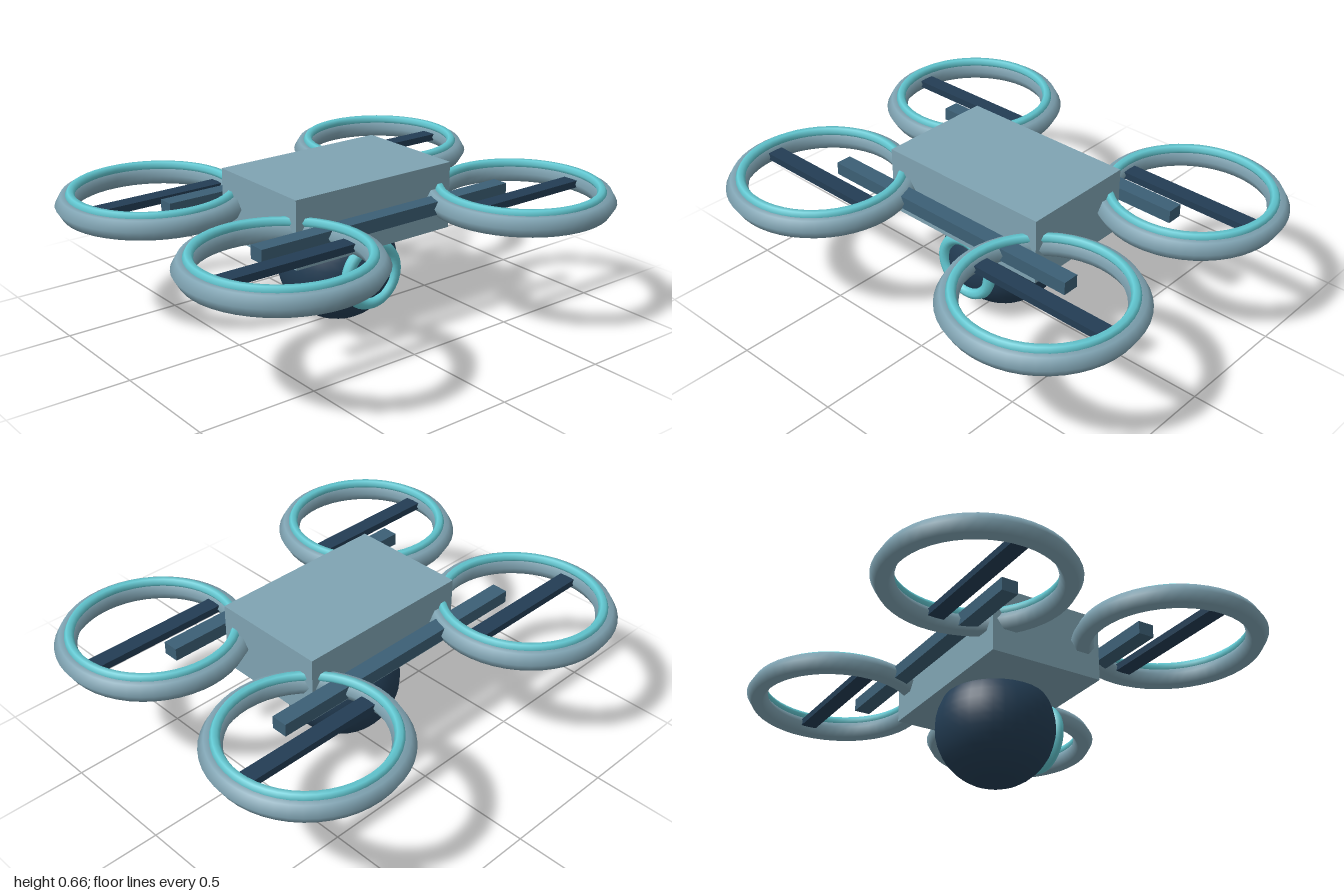
import * as THREE from 'three';

const material = (name, color) => {
  const m = new THREE.MeshStandardMaterial({ color });
  m.name = name;
  return m;
};

export function createModel() {
  const shell = material('blue grey shell', 0x7fa3b2);
  const strut = material('slate strut', 0x3c5f75);
  const dark = material('dark navy', 0x233d54);
  const cyan = material('cyan glow', 0x62c8d2);

  const model = new THREE.Group();
  model.name = 'drone';
  const add = (parent, name, geometry, mat, x, y, z) => {
    const mesh = new THREE.Mesh(geometry, mat);
    mesh.name = name;
    mesh.position.set(x, y, z);
    parent.add(mesh);
    return mesh;
  };

  // Central body
  add(model, 'body', new THREE.BoxGeometry(0.786, 0.285, 0.506), shell, 0, 0.523, 0);

  // Camera ball with its glowing lens ring, slung underneath
  add(model, 'cameraBall', new THREE.SphereGeometry(0.252, 32, 20), dark, 0, 0.254, 0);
  add(model, 'lensRing', new THREE.TorusGeometry(0.125, 0.025, 8, 40), cyan, 0, 0.257, 0.228);

  // Cross arms, front and back
  const armGeometry = new THREE.BoxGeometry(1.246, 0.055, 0.07);
  for (const side of [1, -1]) {
    add(model, side > 0 ? 'frontArm' : 'backArm', armGeometry, strut, 0, 0.526, side * 0.32);
  }

  // Four ducted rotors: six-sided guard ring, light ring on top, single blade
  const guardGeometry = new THREE.TorusGeometry(0.35, 0.046, 6, 48).rotateX(-Math.PI / 2);
  const lightGeometry = new THREE.TorusGeometry(0.332, 0.02, 6, 48).rotateX(-Math.PI / 2);
  const bladeGeometry = new THREE.BoxGeometry(0.64, 0.03, 0.07);
  for (const z of [1, -1]) {
    for (const x of [1, -1]) {
      const rotor = new THREE.Group();
      rotor.name = (z > 0 ? 'front' : 'back') + (x > 0 ? 'Left' : 'Right') + 'Rotor';
      rotor.position.set(x * 0.604, 0.524, z * 0.452);
      add(rotor, 'guardRing', guardGeometry, shell, 0, 0, 0);
      add(rotor, 'lightRing', lightGeometry, cyan, 0, 0.042, 0);
      add(rotor, 'blade', bladeGeometry, dark, 0, 0, 0);
      model.add(rotor);
    }
  }
  return model;
}
